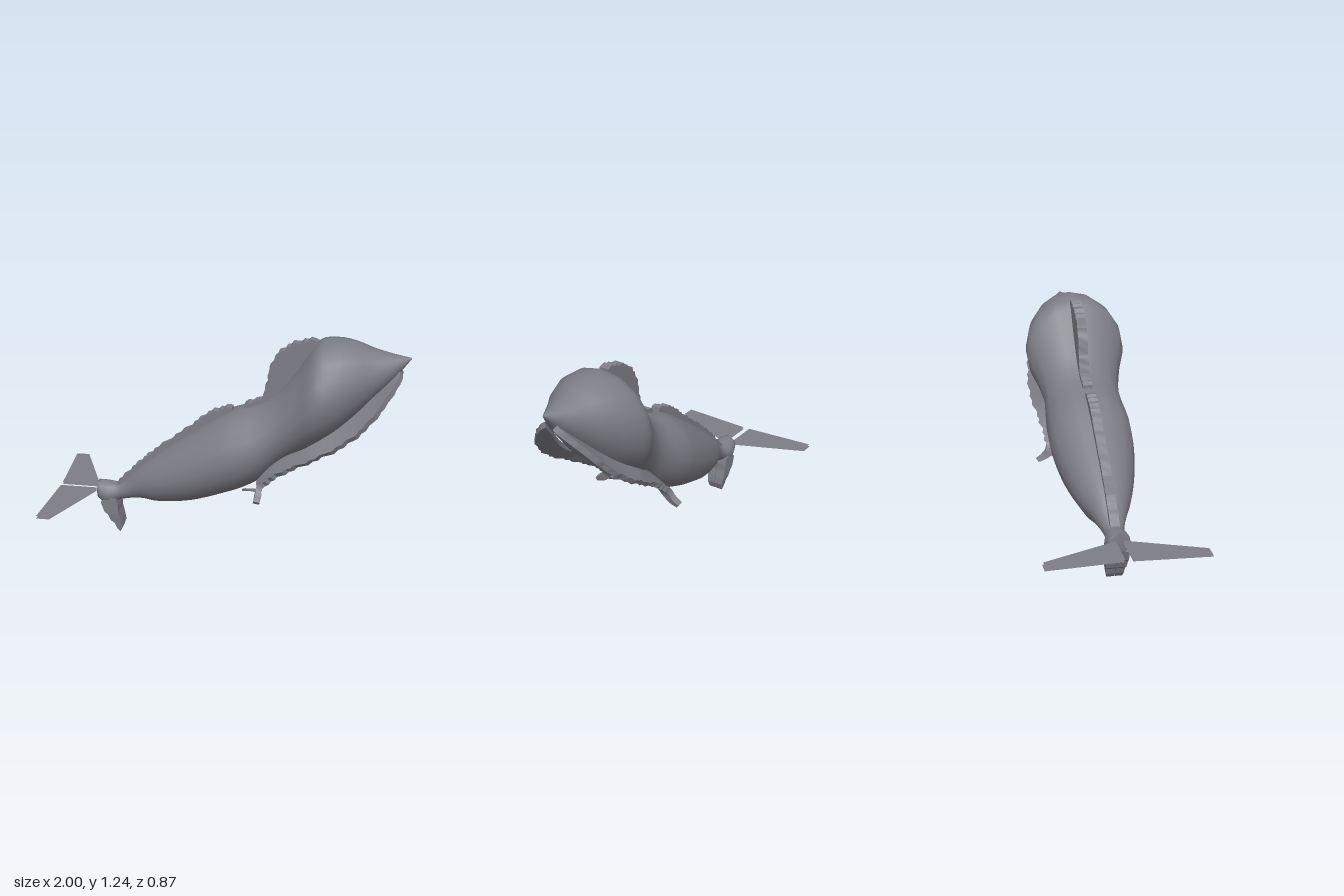
import * as THREE from 'three';
import { toCreasedNormals } from 'three/addons/utils/BufferGeometryUtils.js';

const skin = new THREE.MeshStandardMaterial({ color: 0x7d7d86, side: THREE.DoubleSide });
skin.name = 'slate grey skin';

const V = (p) => new THREE.Vector3(p[0], p[1], p[2] || 0);
const spline = (pts) => new THREE.CatmullRomCurve3(pts.map(V), false, 'centripetal');

// Skins a list of rings (arrays of Vector3 of equal length) and closes both ends.
function loft(rings) {
  const n = rings[0].length, pos = [], idx = [];
  rings.forEach((r) => r.forEach((p) => pos.push(p.x, p.y, p.z)));
  for (let i = 0; i < rings.length - 1; i++) {
    for (let j = 0; j < n; j++) {
      const k = (j + 1) % n, a = i * n, b = a + n;
      idx.push(a + j, b + k, b + j, a + j, a + k, b + k);
    }
  }
  const last = (rings.length - 1) * n;
  for (let j = 1; j < n - 1; j++) {
    idx.push(0, j + 1, j, last, last + j, last + j + 1);
  }
  const g = new THREE.BufferGeometry();
  g.setAttribute('position', new THREE.Float32BufferAttribute(pos, 3));
  g.setIndex(idx);
  return g;
}

// Thick ribbon between a root line and a ragged outer edge.
function ribbon(inner, outer, thickness, rag, steps, side = 1) {
  const a = spline(inner), b = spline(outer), rings = [];
  for (let i = 0; i <= steps; i++) {
    const t = i / steps, p = a.getPoint(t), q = b.getPoint(t);
    const across = q.clone().sub(p).normalize();
    q.addScaledVector(across, rag * (((i * 3) % 5) / 2.5 - 0.8));
    const n = a.getTangent(t).cross(across).normalize().multiplyScalar(thickness / 2);
    const ring = [p.clone().add(n), q.clone().add(n), q.clone().sub(n), p.clone().sub(n)];
    ring.forEach((v) => { v.z *= side; });
    if (side < 0) ring.reverse();
    rings.push(ring);
  }
  return toCreasedNormals(loft(rings), 0.7);
}

export function createModel() {
  const model = new THREE.Group();
  const add = (name, geometry) => {
    const m = new THREE.Mesh(geometry, skin);
    m.name = name;
    model.add(m);
    return m;
  };

  // Body: upright round sections, as [x, centre y, radius]
  const sections = [
    [-0.75, 0.26, 0.055], [-0.7, 0.245, 0.068], [-0.62, 0.26, 0.054], [-0.5, 0.33, 0.1],
    [-0.4, 0.368, 0.145], [-0.2, 0.455, 0.205], [0, 0.555, 0.237], [0.1, 0.595, 0.236],
    [0.2, 0.645, 0.226], [0.3, 0.735, 0.22], [0.4, 0.84, 0.247], [0.5, 0.94, 0.288],
    [0.6, 0.985, 0.265], [0.7, 1.025, 0.213], [0.8, 1.063, 0.143], [0.9, 1.107, 0.076],
    [1, 1.165, 0.003],
  ];
  const spine = spline(sections), bodyRings = [];
  for (let i = 0; i <= 64; i++) {
    const s = spine.getPoint(i / 64);
    bodyRings.push(Array.from({ length: 16 }, (_, j) => {
      const a = (j / 16) * Math.PI * 2;
      return new THREE.Vector3(s.x, s.y + s.z * Math.cos(a), s.z * Math.sin(a));
    }));
  }
  const body = loft(bodyRings);
  body.computeVertexNormals();
  add('body', body);

  // Low ridge along the back
  add('backRidge', ribbon(
    [[-0.64, 0.26], [-0.5, 0.4], [-0.4, 0.48], [-0.2, 0.63], [-0.08, 0.72], [0.04, 0.79]],
    [[-0.65, 0.3], [-0.52, 0.435], [-0.42, 0.525], [-0.22, 0.68], [-0.09, 0.785], [0.03, 0.832]],
    0.052, 0.008, 40));

  // Tall ragged crest behind the head
  add('crest', ribbon(
    [[0.1, 0.81], [0.2, 0.84], [0.26, 0.88], [0.3, 0.93], [0.35, 0.99], [0.41, 1.06], [0.46, 1.14], [0.5, 1.2]],
    [[0.1, 0.855], [0.19, 0.885], [0.22, 0.97], [0.24, 1.07], [0.28, 1.15], [0.34, 1.2], [0.42, 1.233], [0.5, 1.243]],
    0.055, 0.01, 30));

  for (const side of [1, -1]) {
    const label = side > 0 ? 'left' : 'right';

    // Ragged fringe from the jaw down along the belly
    add(label + 'BellyFringe', ribbon(
      [[0.95, 1.09, 0.03], [0.88, 1.02, 0.055], [0.75, 0.89, 0.12], [0.62, 0.78, 0.17], [0.48, 0.69, 0.195],
        [0.36, 0.61, 0.16], [0.27, 0.53, 0.15], [0.2, 0.45, 0.17]],
      [[0.95, 1.07, 0.06], [0.88, 0.965, 0.155], [0.79, 0.85, 0.22], [0.68, 0.75, 0.248], [0.54, 0.66, 0.255],
        [0.4, 0.58, 0.238], [0.29, 0.51, 0.225], [0.21, 0.43, 0.21]],
      0.032, 0.01, 36, side));

    // Small flipper: a splayed outer lobe and a thin inner toe
    add(label + 'Flipper', ribbon(
      [[0.23, 0.47, 0.16], [0.21, 0.42, 0.18], [0.205, 0.385, 0.22], [0.205, 0.367, 0.27]],
      [[0.24, 0.47, 0.22], [0.215, 0.44, 0.225], [0.215, 0.41, 0.25], [0.21, 0.385, 0.283]],
      0.035, 0.001, 10, side));
    add(label + 'FlipperToe', ribbon(
      [[0.21, 0.4, 0.2], [0.16, 0.385, 0.15], [0.11, 0.358, 0.095]],
      [[0.22, 0.42, 0.19], [0.165, 0.4, 0.15], [0.11, 0.37, 0.095]],
      0.02, 0.001, 8, side));

    // Tail fluke: two thin sheets, drawn in (x, -z) and laid flat
    const sheet = (name, y, tip) => {
      const pts = [[-0.75, 0.02], [-0.975, 0.02], [-1, tip], [-0.925, tip]];
      const shape = new THREE.Shape(pts.map(([x, z]) => new THREE.Vector2(x, z * -side)));
      const g = new THREE.ShapeGeometry(shape);
      g.rotateX(-Math.PI / 2);
      add(name, g).position.y = y;
    };
    sheet(label + 'FlukeTop', 0.273, 0.43);
    sheet(label + 'FlukeUnderside', 0.26, 0.435);

    // Half of the notched fin hanging below the tail
    const outline = [[-0.73, 0.2], [-0.71, 0.14], [-0.69, 0.125], [-0.675, 0.085], [-0.655, 0.07], [-0.642, 0.035],
      [-0.623, 0.01], [-0.608, 0.05], [-0.615, 0.09], [-0.628, 0.14], [-0.63, 0.18], [-0.64, 0.22], [-0.69, 0.24]];
    const fin = new THREE.ExtrudeGeometry(new THREE.Shape(outline.map(([x, y]) => new THREE.Vector2(x, y))),
      { depth: 0.052, bevelEnabled: false });
    const p = fin.attributes.position;
    for (let i = 0; i < p.count; i++) {
      // Narrower toward the tip
      if (p.getZ(i) > 0.01) p.setZ(i, 0.04 + 0.018 * Math.min(1, p.getY(i) / 0.12));
    }
    fin.translate(0, 0, 0.002);
    if (side < 0) fin.translate(0, 0, 0).applyMatrix4(new THREE.Matrix4().makeRotationY(0));
    if (side < 0) {
      // Mirror and restore the corner order
      for (let i = 0; i < p.count; i++) p.setZ(i, -p.getZ(i));
      for (let i = 0; i < p.count; i += 3) {
        const a = V([p.getX(i + 1), p.getY(i + 1), p.getZ(i + 1)]);
        p.setXYZ(i + 1, p.getX(i + 2), p.getY(i + 2), p.getZ(i + 2));
        p.setXYZ(i + 2, a.x, a.y, a.z);
      }
    }
    fin.computeVertexNormals();
    add(label + 'LowerTailFin', fin);
  }
  return model;
}
